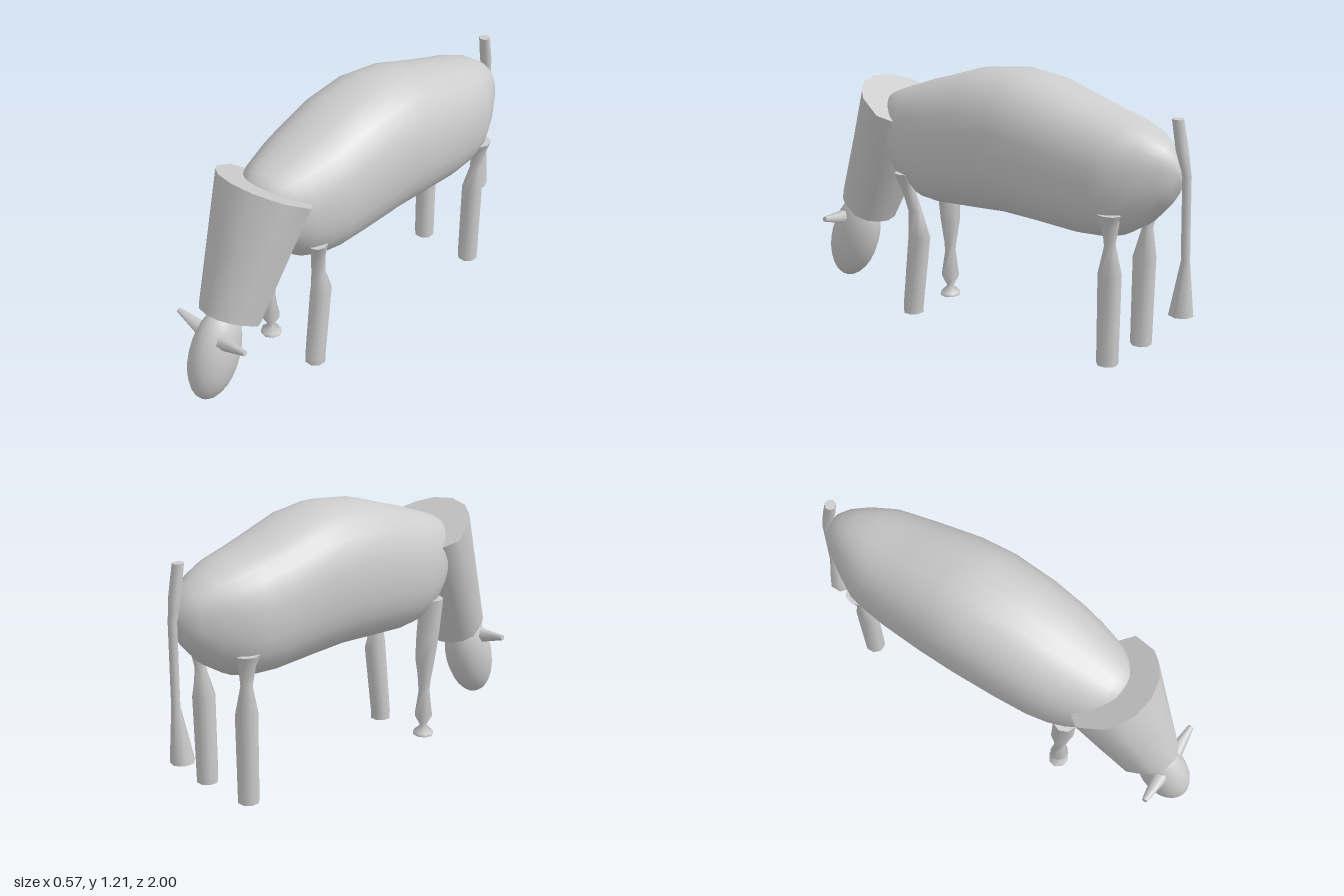
import * as THREE from 'three';

const grey = new THREE.MeshStandardMaterial({ color: 0xcccccc });
grey.name = 'plain grey';

// Skin a list of closed rings (each an array of Vector3) and cap both ends.
function loft(name, rings) {
  const n = rings[0].length, pos = [], idx = [];
  const add = p => pos.push(p.x, p.y, p.z) / 3 - 1;
  rings.forEach(r => r.forEach(add));
  for (let i = 0; i < rings.length - 1; i++) {
    for (let j = 0; j < n; j++) {
      const a = i * n + j, b = i * n + (j + 1) % n;
      idx.push(a, b, b + n, a, b + n, a + n);
    }
  }
  [rings[0], rings[rings.length - 1]].forEach((ring, end) => {
    const c = ring.reduce((s, p) => s.add(p), new THREE.Vector3()).divideScalar(n);
    const ci = add(c), first = ci + 1;
    ring.forEach(add);
    for (let j = 0; j < n; j++) {
      const a = first + j, b = first + (j + 1) % n;
      if (end) idx.push(ci, a, b); else idx.push(ci, b, a);
    }
  });
  // Turn the faces outwards if the signed volume is negative.
  const v = i => new THREE.Vector3().fromArray(pos, i * 3);
  let volume = 0;
  for (let i = 0; i < idx.length; i += 3) volume += v(idx[i]).dot(v(idx[i + 1]).cross(v(idx[i + 2])));
  if (volume < 0) idx.reverse();
  const g = new THREE.BufferGeometry();
  g.setAttribute('position', new THREE.Float32BufferAttribute(pos, 3));
  g.setIndex(idx);
  g.computeVertexNormals();
  const mesh = new THREE.Mesh(g, grey);
  mesh.name = name;
  return mesh;
}

// Upright limb: each station is [x, y, z, radiusX, radiusZ, twist].
function limb(name, sides, stations) {
  return loft(name, stations.map(([x, y, z, rx, rz, twist = 0]) =>
    Array.from({ length: sides }, (_, j) => {
      const a = j / sides * Math.PI * 2 + twist;
      return new THREE.Vector3(x + rx * Math.cos(a), y, z + rz * Math.sin(a));
    })));
}

// Body sections: [z, bottom, top, half width].
function makeBody() {
  const stations = [
    [0.615, 0.86, 0.9, 0.02], [0.605, 0.79, 0.97, 0.07], [0.58, 0.73, 1.01, 0.115],
    [0.54, 0.68, 1.03, 0.155], [0.49, 0.63, 1.05, 0.19], [0.43, 0.575, 1.07, 0.215],
    [0.35, 0.545, 1.1, 0.24], [0.25, 0.537, 1.13, 0.26], [0.09, 0.545, 1.183, 0.275],
    [-0.12, 0.557, 1.208, 0.283], [-0.29, 0.548, 1.188, 0.275], [-0.5, 0.532, 1.12, 0.252],
    [-0.62, 0.537, 1.085, 0.233], [-0.7, 0.558, 1.065, 0.215], [-0.8, 0.62, 1.03, 0.16],
    [-0.88, 0.705, 0.975, 0.105], [-0.92, 0.76, 0.93, 0.06], [-0.94, 0.83, 0.87, 0.015],
  ];
  const soft = (t, p) => Math.sign(t) * Math.abs(t) ** p;
  return loft('body', stations.map(([z, low, high, w]) =>
    Array.from({ length: 28 }, (_, j) => {
      const a = j / 28 * Math.PI * 2;
      return new THREE.Vector3(w * soft(Math.cos(a), 0.88),
        (low + high) / 2 + (high - low) / 2 * soft(Math.sin(a), 0.9), z);
    })));
}

// Neck: a tilted funnel, flatter in front, widest towards the shoulders.
function makeNeck() {
  const half = [[0.1, 0.06], [0.17, 0.2], [0.21, 0.33], [0.245, 0.66], [0.19, 0.85], [0.1, 0.96]];
  const outline = [[0, 0], ...half, [0, 1], ...half.map(([x, f]) => [-x, f]).reverse()];
  const ring = (front, back, wide) => outline.map(([x, f]) => new THREE.Vector3(x * wide,
    THREE.MathUtils.lerp(front[1], back[1], f), THREE.MathUtils.lerp(front[0], back[0], f)));
  return loft('neck', [
    ring([0.715, 1.07], [0.39, 0.89], 1),
    ring([0.805, 0.78], [0.52, 0.628], 0.8),
    ring([0.898, 0.49], [0.65, 0.365], 0.59),
  ]);
}

export function createModel() {
  const model = new THREE.Group();
  model.name = 'grazingAnimal';
  model.add(makeBody(), makeNeck());

  // Head
  const head = new THREE.Mesh(new THREE.SphereGeometry(1, 20, 14), grey);
  head.name = 'head';
  head.scale.set(0.1, 0.2236, 0.124);
  head.position.set(0, 0.253, 0.863);
  head.rotation.x = -0.337;
  model.add(head);

  // Horns
  for (const side of [1, -1]) {
    const horn = new THREE.Mesh(new THREE.CylinderGeometry(0.013, 0.036, 0.15, 6), grey);
    horn.name = side > 0 ? 'leftHorn' : 'rightHorn';
    horn.position.set(side * 0.135, 0.37, 0.873);
    horn.rotation.z = -side * (Math.PI / 2 - 0.16);
    model.add(horn);
  }

  // Front legs, the right one pinched above the foot
  model.add(limb('leftFrontLeg', 8, [
    [0.185, 0.685, 0.4, 0.036, 0.045], [0.165, 0.6, 0.385, 0.03, 0.036, 0.4],
    [0.145, 0.5, 0.365, 0.026, 0.036, 0.8], [0.14, 0.38, 0.347, 0.046, 0.055, 1.2],
    [0.14, 0.03, 0.388, 0.049, 0.049, 1.2], [0.14, 0, 0.388, 0.048, 0.048, 1.2],
  ]));
  model.add(limb('rightFrontLeg', 8, [
    [-0.165, 0.68, 0.41, 0.055, 0.055], [-0.155, 0.5, 0.4, 0.05, 0.055],
    [-0.15, 0.38, 0.39, 0.046, 0.046, 0.2], [-0.148, 0.22, 0.39, 0.026, 0.026, 0.7],
    [-0.147, 0.1, 0.39, 0.044, 0.044, 1.2], [-0.147, 0.045, 0.39, 0.016, 0.016, 1.7],
    [-0.147, 0.015, 0.39, 0.05, 0.047, 2.2], [-0.147, 0, 0.39, 0.05, 0.047, 2.2],
  ]));

  // Back legs
  for (const side of [1, -1]) {
    model.add(limb(side > 0 ? 'leftBackLeg' : 'rightBackLeg', 8, [
      [side * 0.175, 0.685, -0.697, 0.045, 0.057], [side * 0.165, 0.63, -0.697, 0.036, 0.04, side * 0.4],
      [side * 0.155, 0.54, -0.695, 0.026, 0.026, side * 0.8], [side * 0.145, 0.41, -0.69, 0.049, 0.053, side * 1.2],
      [side * 0.142, 0.03, -0.686, 0.049, 0.049, side * 1.2], [side * 0.142, 0, -0.686, 0.048, 0.048, side * 1.2],
    ]));
  }

  // Tail
  model.add(limb('tail', 7, [
    [-0.003, 1.09, -0.912, 0.026, 0.026], [-0.006, 0.96, -0.935, 0.028, 0.028],
    [-0.012, 0.85, -0.958, 0.02, 0.02], [-0.018, 0.48, -0.962, 0.02, 0.02],
    [-0.027, 0.23, -0.944, 0.052, 0.056],
  ]));
  return model;
}
